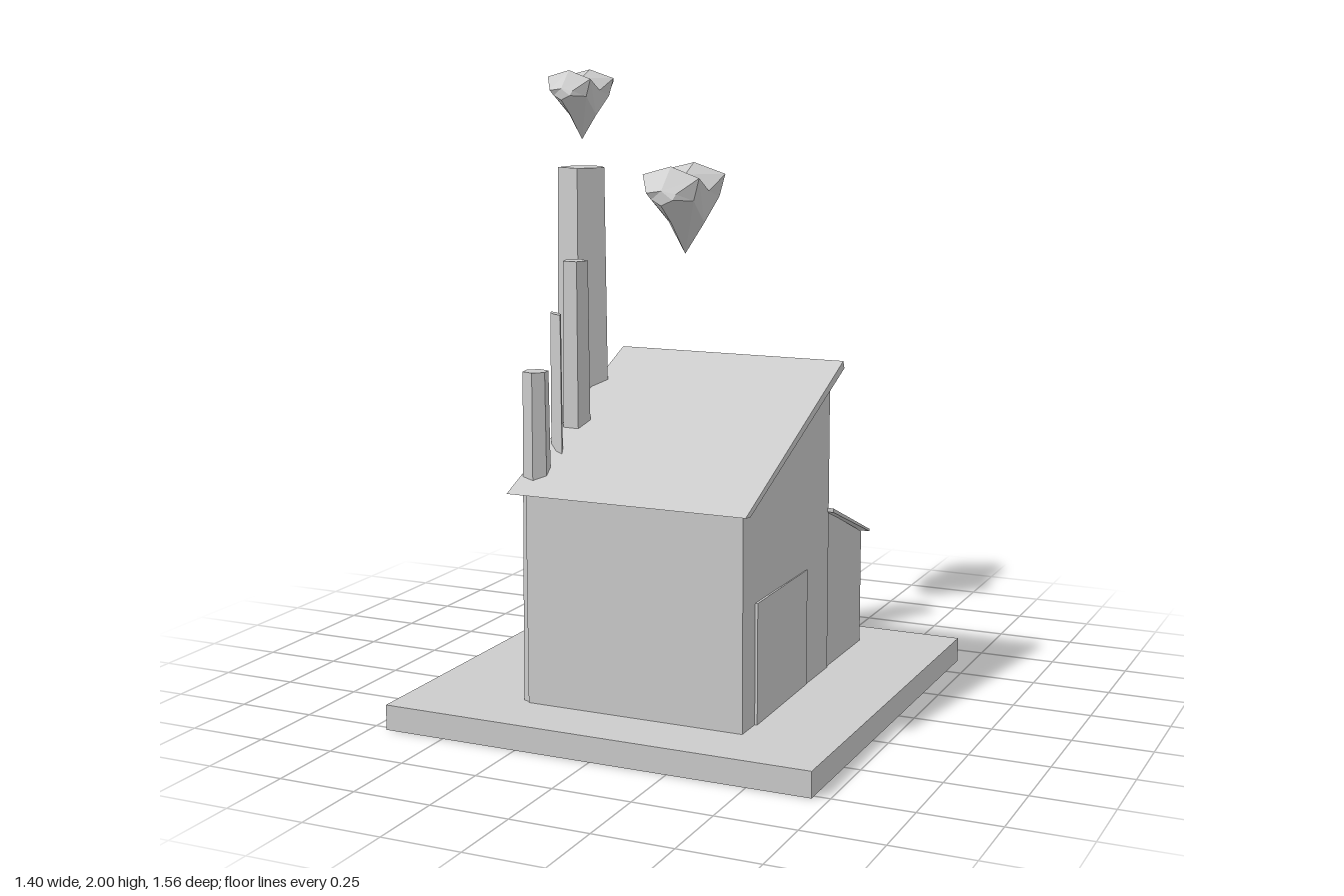
import * as THREE from 'three';

const material = new THREE.MeshStandardMaterial({ color: 0xcccccc, flatShading: true });

function add(group, name, geometry, x = 0, y = 0, z = 0) {
  const mesh = new THREE.Mesh(geometry, material);
  mesh.name = name;
  mesh.position.set(x, y, z);
  group.add(mesh);
  return mesh;
}

// Extrudes a side profile of [z, y] points across x, from x0 to x1
function sideProfile(points, x0, x1) {
  const shape = new THREE.Shape(points.map(([z, y]) => new THREE.Vector2(z, y)));
  const geometry = new THREE.ExtrudeGeometry(shape, { depth: x1 - x0, bevelEnabled: false });
  return geometry.rotateY(-Math.PI / 2).translate(x1, 0, 0);
}

// Tapered faceted stack standing on the slab
function stack(top, rTop, rBottom, sides, turn) {
  const h = top - 0.08;
  return new THREE.CylinderGeometry(rTop, rBottom, h, sides).rotateY(turn).translate(0, 0.08 + h / 2, 0);
}

// Two-lobed smoke puff, lofted along z from six-sided sections
function puffGeometry() {
  // z, centre x, top, bottom, half width
  const sections = [
    [0.208, 0.015, 0.07, 0.02, 0.05],
    [0.15, 0.025, 0.15, -0.04, 0.1],
    [0.01, 0.015, 0.115, -0.16, 0.085],
    [-0.12, -0.01, 0.15, -0.045, 0.115],
    [-0.208, 0.01, 0.11, 0.03, 0.05],
  ];
  const positions = [];
  const index = [];
  for (const [z, cx, top, bottom, w] of sections) {
    const at = (t) => bottom + (top - bottom) * t;
    positions.push(
      cx, at(1), z, cx - w, at(0.85), z + 0.012, cx - w * 0.75, at(0.4), z,
      cx, at(0), z, cx + w * 0.85, at(0.4), z, cx + w, at(0.8), z - 0.012);
  }
  const last = sections.length - 1;
  for (let s = 0; s < last; s++) {
    for (let i = 0; i < 6; i++) {
      const a = s * 6 + i, b = s * 6 + ((i + 1) % 6), c = a + 6, d = b + 6;
      index.push(a, c, b, b, c, d);
    }
  }
  for (let i = 1; i < 5; i++) {
    index.push(0, i, i + 1, last * 6, last * 6 + i + 1, last * 6 + i);
  }
  const geometry = new THREE.BufferGeometry();
  geometry.setAttribute('position', new THREE.Float32BufferAttribute(positions, 3));
  geometry.setIndex(index);
  const flat = geometry.toNonIndexed();
  flat.computeVertexNormals();
  return flat;
}

export function createModel() {
  const model = new THREE.Group();
  model.name = 'factory';

  // Ground slab
  add(model, 'groundSlab', new THREE.BoxGeometry(1.4, 0.08, 1.4), 0, 0.04, 0.07);

  // Main hall with a single-pitch roof
  add(model, 'mainHall', sideProfile([[0.57, 0.08], [0.57, 0.76], [-0.14, 1.055], [-0.14, 0.08]], -0.31, 0.405));
  add(model, 'mainRoof', sideProfile([[0.635, 0.75], [-0.165, 1.09], [-0.175, 1.065], [0.6, 0.745]], -0.34, 0.44));

  // Rear annex and its roof
  add(model, 'annex', sideProfile([[-0.13, 0.08], [-0.13, 0.605], [-0.47, 0.462], [-0.47, 0.08]], -0.308, 0.4));
  add(model, 'annexRoof', sideProfile([[-0.13, 0.615], [-0.487, 0.468], [-0.487, 0.46], [-0.13, 0.602]], -0.315, 0.425));

  // Side door, standing slightly proud at its front edge
  const door = add(model, 'sideDoor', new THREE.BoxGeometry(0.02, 0.375, 0.425), 0.4, 0.2675, 0.2625);
  door.rotation.y = 0.015;

  // Large chimney
  add(model, 'largeChimney', stack(1.695, 0.08, 0.097, 5, 0.25), -0.39, 0, 0.02);

  // Row of small chimneys, the middle one a thin blade
  add(model, 'smallChimneyFront', stack(1.11, 0.04, 0.05, 6, 0.2), -0.298, 0, 0.52);
  add(model, 'smallChimneyBack', stack(1.42, 0.041, 0.05, 5, 0.6), -0.298, 0, 0.257);
  const blade = add(model, 'smallChimneyMiddle', stack(1.27, 0.046, 0.058, 6, 0), -0.298, 0, 0.388);
  blade.scale.x = 0.25;
  blade.rotation.y = Math.PI / 4;

  // Smoke puffs
  const puff = puffGeometry();
  add(model, 'largeSmokePuff', puff, -0.305, 1.525, -0.565);
  add(model, 'smallSmokePuff', puff, -0.51, 1.89, -0.195).scale.setScalar(0.735);

  return model;
}
